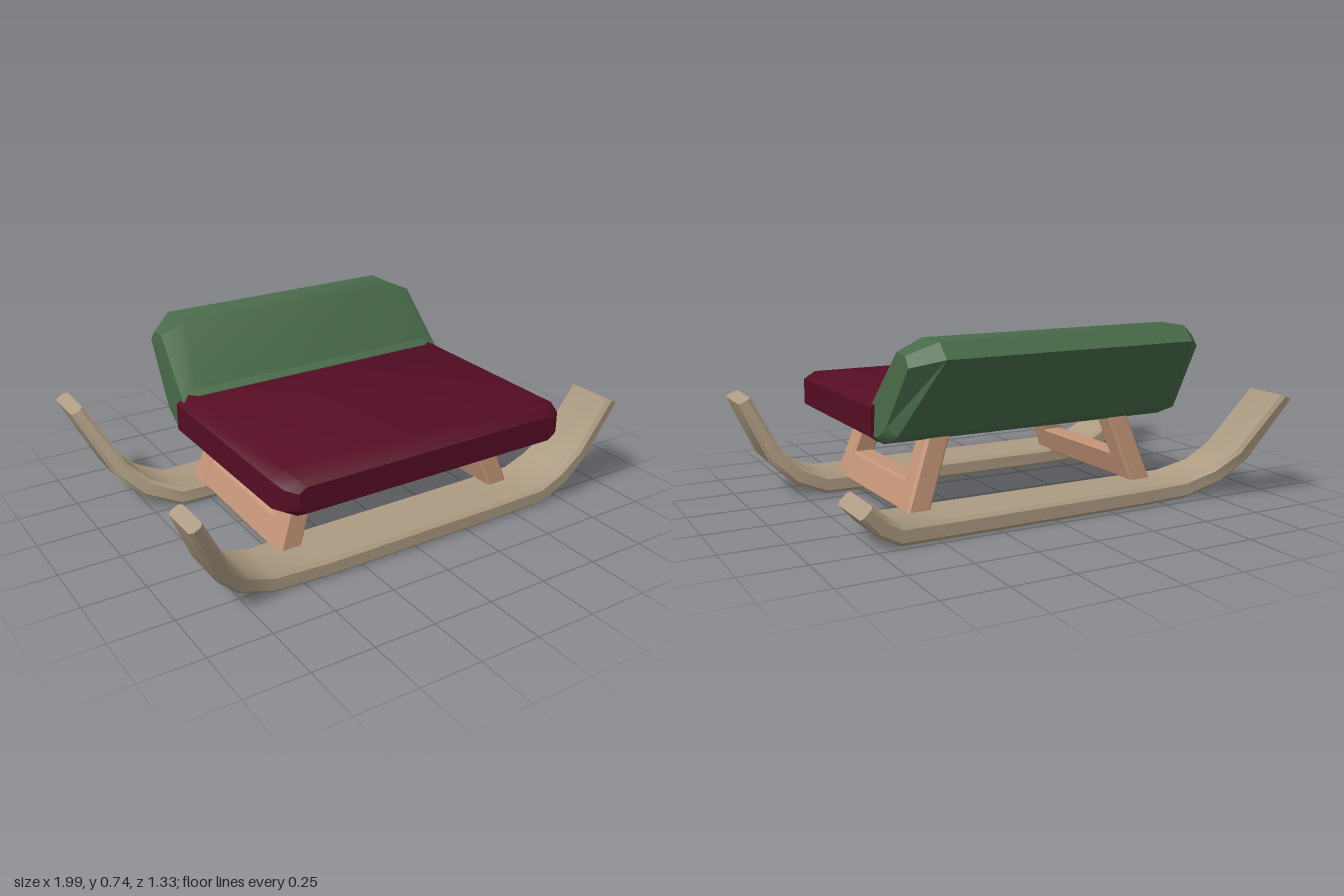
import * as THREE from 'three';
import { toCreasedNormals, mergeVertices } from 'three/addons/utils/BufferGeometryUtils.js';

const mat = (name, color) => {
  const m = new THREE.MeshStandardMaterial({ color });
  m.name = name;
  return m;
};

// Skin a closed solid through rings of equal point count, with capped ends.
function loft(rings, crease = 0.5) {
  const n = rings[0].length, pos = rings.flat(2), index = [];
  for (let r = 0; r < rings.length - 1; r++) {
    for (let i = 0; i < n; i++) {
      const a = r * n + i, b = r * n + (i + 1) % n;
      index.push(a, b, a + n, b, b + n, a + n);
    }
  }
  const last = (rings.length - 1) * n;
  for (let i = 1; i < n - 1; i++) {
    index.push(0, i + 1, i, last, last + i, last + i + 1);
  }
  // Make the faces point outward by checking the signed volume.
  const v = k => new THREE.Vector3().fromArray(pos, index[k] * 3);
  let volume = 0;
  for (let k = 0; k < index.length; k += 3) volume += v(k).dot(v(k + 1).cross(v(k + 2)));
  if (volume < 0) index.reverse();
  const geo = new THREE.BufferGeometry();
  geo.setAttribute('position', new THREE.Float32BufferAttribute(pos, 3));
  geo.setIndex(index);
  return toCreasedNormals(mergeVertices(geo), crease);
}

// Rectangle with cut corners, as [u, v] pairs.
const bevelRect = (u0, u1, v0, v1, bu, bv = bu) => [
  [u0 + bu, v0], [u1 - bu, v0], [u1, v0 + bv], [u1, v1 - bv],
  [u1 - bu, v1], [u0 + bu, v1], [u0, v1 - bv], [u0, v0 + bv],
];

// Curled plank through stations [x, y, zMin, zMax, thickness].
function plank(stations) {
  const rings = stations.map(([x, y, z0, z1, t], i) => {
    const p = stations[Math.max(i - 1, 0)], q = stations[Math.min(i + 1, stations.length - 1)];
    const len = Math.hypot(q[0] - p[0], q[1] - p[1]);
    const nx = -(q[1] - p[1]) / len, ny = (q[0] - p[0]) / len;
    return bevelRect(z0, z1, -t / 2, t / 2, 0.014).map(([z, h]) => [x + nx * h, y + ny * h, z]);
  });
  return loft(rings, 0.6);
}

export function createModel() {
  const group = new THREE.Group();
  const runnerWood = mat('runner wood', 0xad9b82);
  const frameWood = mat('frame wood', 0xc49577);
  const seatRed = mat('seat red', 0x550d24);
  const backGreen = mat('backrest green', 0x486a49);
  const add = (name, geo, material) => {
    const mesh = new THREE.Mesh(geo, material);
    mesh.name = name;
    group.add(mesh);
  };

  // Runners, flat in the middle with ends that curl up and flare out
  add('frontRunner', plank([
    [-0.968, 0.43, 0.485, 0.665, 0.056],
    [-0.845, 0.18, 0.375, 0.605, 0.07],
    [-0.76, 0.093, 0.345, 0.56, 0.075],
    [-0.63, 0.041, 0.315, 0.545, 0.076],
    [-0.4, 0.039, 0.305, 0.558, 0.076],
    [0.4, 0.039, 0.305, 0.558, 0.076],
    [0.65, 0.041, 0.305, 0.555, 0.076],
    [0.765, 0.09, 0.31, 0.553, 0.075],
    [0.86, 0.18, 0.33, 0.56, 0.066],
    [0.967, 0.415, 0.375, 0.6, 0.056],
  ]), runnerWood);
  add('backRunner', plank([
    [-0.968, 0.43, -0.668, -0.46, 0.056],
    [-0.845, 0.18, -0.56, -0.345, 0.07],
    [-0.76, 0.093, -0.505, -0.3, 0.075],
    [-0.63, 0.041, -0.465, -0.245, 0.076],
    [-0.4, 0.039, -0.475, -0.238, 0.076],
    [0.4, 0.039, -0.48, -0.238, 0.076],
    [0.65, 0.042, -0.488, -0.243, 0.076],
    [0.72, 0.08, -0.493, -0.248, 0.074],
    [0.785, 0.147, -0.498, -0.25, 0.066],
  ]), runnerWood);

  // Legs lean inward; a side bar joins each front and back pair
  const legX = (side, y) => 0.02 + side * (0.515 - 0.36 * (y - 0.04));
  for (const side of [1, -1]) {
    const name = side > 0 ? 'left' : 'right';
    const leg = (lowZ, highZ) => loft([[0.04, lowZ], [0.37, highZ]].map(([y, z]) =>
      bevelRect(-0.048, 0.048, -0.05, 0.05, 0.01).map(([u, w]) => [legX(side, y) + u, y, z + w])));
    add(name + 'FrontLeg', leg(0.365, 0.33), frameWood);
    add(name + 'BackLeg', leg(-0.298, -0.262), frameWood);
    add(name + 'SideBar', loft([[0.35, 0.06, 0.173], [-0.28, 0.07, 0.18]].map(([z, y0, y1]) =>
      bevelRect(-0.044, 0.044, y0, y1, 0.008).map(([u, y]) => [legX(side, y) + u, y, z]))), frameWood);
  }

  // Seat cushion with softened front
  const seatRing = (z, inset, y0, y1, bu, bv) =>
    bevelRect(-0.63 + inset, 0.665 - inset, y0, y1, bu, bv).map(([x, y]) => [x, y, z]);
  add('seat', loft([
    seatRing(-0.24, 0, 0.325, 0.497, 0.05, 0.03),
    seatRing(0.54, 0, 0.322, 0.49, 0.05, 0.03),
    seatRing(0.6, 0.02, 0.33, 0.473, 0.05, 0.03),
    seatRing(0.632, 0.06, 0.348, 0.45, 0.03, 0.02),
  ], 0.6), seatRed);

  // Reclined backrest: full [z, y] profile inside, trimmed profile at both ends
  const full = [
    [-0.18, 0.44], [-0.2, 0.328], [-0.3, 0.34], [-0.405, 0.385],
    [-0.628, 0.685], [-0.572, 0.74], [-0.425, 0.74], [-0.24, 0.512], [-0.2, 0.498],
  ];
  const trimmed = [
    [-0.175, 0.44], [-0.2, 0.35], [-0.28, 0.365], [-0.355, 0.41],
    [-0.53, 0.65], [-0.5, 0.69], [-0.425, 0.695], [-0.245, 0.49], [-0.2, 0.475],
  ];
  const endX = y => 0.632 - 0.06 * (y - 0.45);
  const backRing = (profile, xOf) => profile.map(([z, y]) => [0.018 + xOf(y), y, z]);
  const shoulder = y => 0.52 + 0.09 * THREE.MathUtils.clamp((0.6 - y) / 0.2, 0, 1);
  add('backrest', loft([
    backRing(trimmed, y => -endX(y)),
    backRing(full, y => -shoulder(y)),
    backRing(full, shoulder),
    backRing(trimmed, endX),
  ], 0.45), backGreen);

  return group;
}
